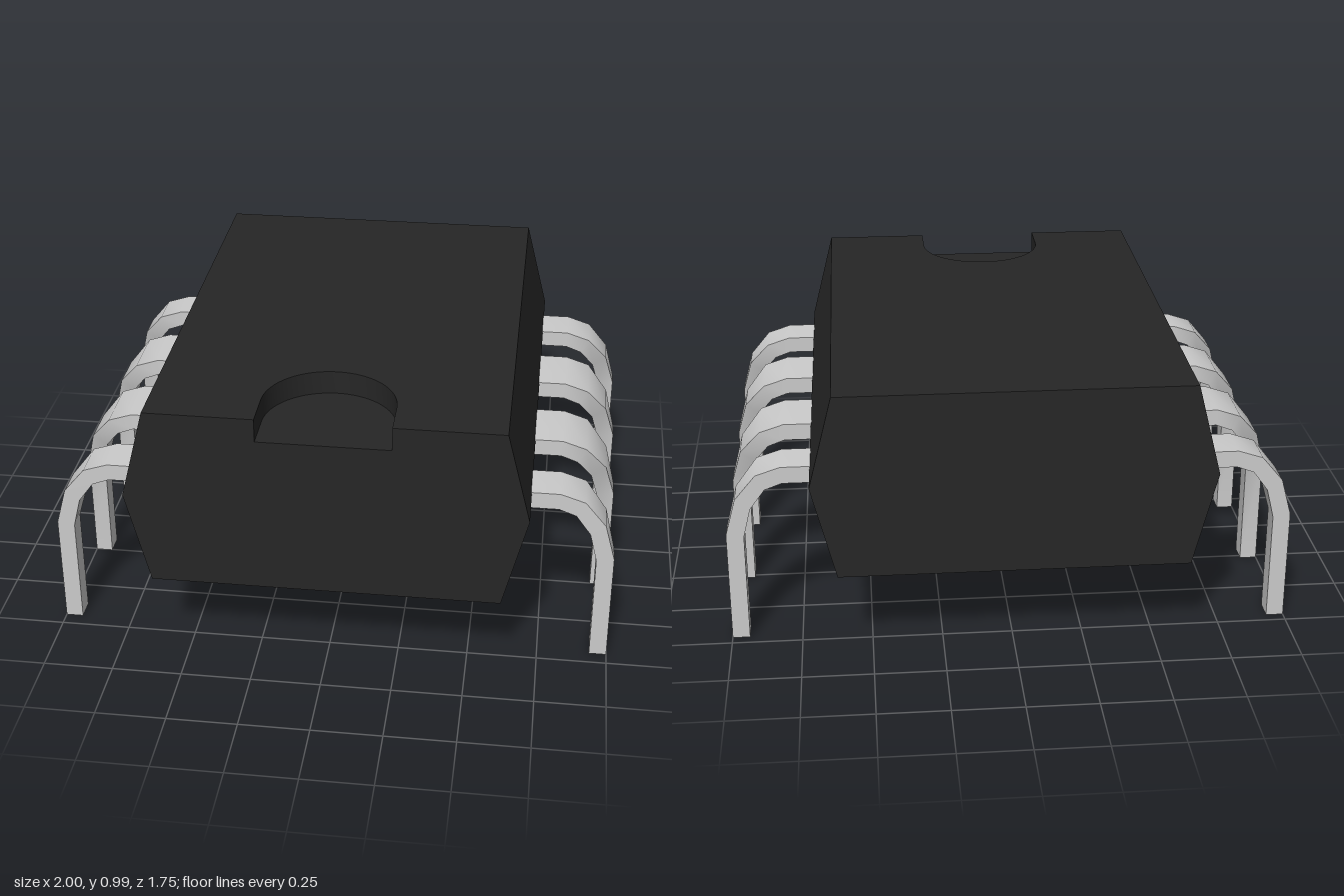
import * as THREE from 'three';
import { toCreasedNormals } from 'three/addons/utils/BufferGeometryUtils.js';

const HALF_LENGTH = 0.875, TOP = 0.985, MIDDLE = 0.655, BOTTOM = 0.315;
const NOTCH_FLOOR = 0.9, NOTCH_RADIUS = 0.232;
const TOP_X = 0.615, MIDDLE_X = 0.7;
const FLOOR_X = THREE.MathUtils.mapLinear(NOTCH_FLOOR, MIDDLE, TOP, MIDDLE_X, TOP_X);

// Lower housing: bevelled profile up to the notch floor
function lowerBodyGeometry() {
  const half = [[TOP_X, BOTTOM], [MIDDLE_X, MIDDLE], [FLOOR_X, NOTCH_FLOOR]];
  const outline = [...half, ...half.map(([x, y]) => [-x, y]).reverse()];
  const shape = new THREE.Shape(outline.map(([x, y]) => new THREE.Vector2(x, y)));
  return new THREE.ExtrudeGeometry(shape, { depth: 2 * HALF_LENGTH, bevelEnabled: false })
    .translate(0, 0, -HALF_LENGTH);
}

// Top layer: plan outline with a rounded notch, sides tapered inward
function upperBodyGeometry() {
  const r = NOTCH_RADIUS, centre = -(0.5 + r);
  const shape = new THREE.Shape();
  shape.moveTo(-FLOOR_X, -HALF_LENGTH);
  shape.lineTo(-r, -HALF_LENGTH);
  shape.lineTo(-r, centre);
  shape.absarc(0, centre, r, Math.PI, 0, true);
  shape.lineTo(r, -HALF_LENGTH);
  shape.lineTo(FLOOR_X, -HALF_LENGTH);
  shape.lineTo(FLOOR_X, HALF_LENGTH);
  shape.lineTo(-FLOOR_X, HALF_LENGTH);
  const geometry = new THREE.ExtrudeGeometry(shape, {
    depth: TOP - NOTCH_FLOOR, bevelEnabled: false, curveSegments: 16,
  }).rotateX(-Math.PI / 2).translate(0, NOTCH_FLOOR, 0);
  const p = geometry.attributes.position;
  for (let i = 0; i < p.count; i++) {
    if (Math.abs(p.getX(i)) > 0.5 && p.getY(i) > NOTCH_FLOOR + 0.01) {
      p.setX(i, Math.sign(p.getX(i)) * TOP_X);
    }
  }
  return toCreasedNormals(geometry, 0.5);
}

// Pin sections: outer x, outer y, inner x, inner y, half width
const LEG = 0.038;
const SECTIONS = [
  [0.66, 0.664, 0.66, 0.603, 0.115],
  [0.80, 0.664, 0.797, 0.603, 0.115],
  [0.888, 0.635, 0.858, 0.58, 0.115],
  [0.963, 0.545, 0.911, 0.508, 0.08],
  [1, 0.41, 0.938, 0.4, LEG],
  [1, 0, 0.938, 0, LEG],
];

// Bent pin; trim +1 or -1 keeps that z side as narrow as the leg, 0 trims neither
function pinGeometry(trim) {
  const rings = SECTIONS.map(([ox, oy, ix, iy, w]) => {
    const back = trim < 0 ? -LEG : -w, front = trim > 0 ? LEG : w;
    return [[ox, oy, back], [ox, oy, front], [ix, iy, front], [ix, iy, back]];
  });
  const points = [];
  const quad = (a, b, c, d) => points.push(...a, ...b, ...c, ...a, ...c, ...d);
  for (let i = 0; i < rings.length - 1; i++) {
    for (let j = 0; j < 4; j++) {
      const k = (j + 1) % 4;
      quad(rings[i][j], rings[i][k], rings[i + 1][k], rings[i + 1][j]);
    }
  }
  const [a, b, c, d] = rings[0];
  quad(d, c, b, a);
  quad(...rings[rings.length - 1]);
  const geometry = new THREE.BufferGeometry();
  geometry.setAttribute('position', new THREE.Float32BufferAttribute(points, 3));
  return toCreasedNormals(geometry, 0.6);
}

export function createModel() {
  const model = new THREE.Group();
  model.name = 'chipPackage';
  const bodyMaterial = new THREE.MeshStandardMaterial({ color: 0x262626 });
  const pinMaterial = new THREE.MeshStandardMaterial({ color: 0xcccccc });

  const add = (parent, name, geometry, material) => {
    const mesh = new THREE.Mesh(geometry, material);
    mesh.name = name;
    parent.add(mesh);
    return mesh;
  };

  // Housing
  const body = new THREE.Group();
  body.name = 'body';
  add(body, 'lowerBody', lowerBodyGeometry(), bodyMaterial);
  add(body, 'notchedTop', upperBodyGeometry(), bodyMaterial);
  model.add(body);

  // Two rows of four pins; the end pins are trimmed on their outer side
  for (const side of [1, -1]) {
    const row = new THREE.Group();
    row.name = side > 0 ? 'leftPins' : 'rightPins';
    for (let i = 0; i < 4; i++) {
      const trim = i === 0 ? 1 : i === 3 ? -1 : 0;
      const pin = add(row, `pin${i + 1}`, pinGeometry(trim * side), pinMaterial);
      pin.position.z = 0.66 - 0.445 * i;
      if (side < 0) pin.rotation.y = Math.PI;
    }
    model.add(row);
  }
  return model;
}
